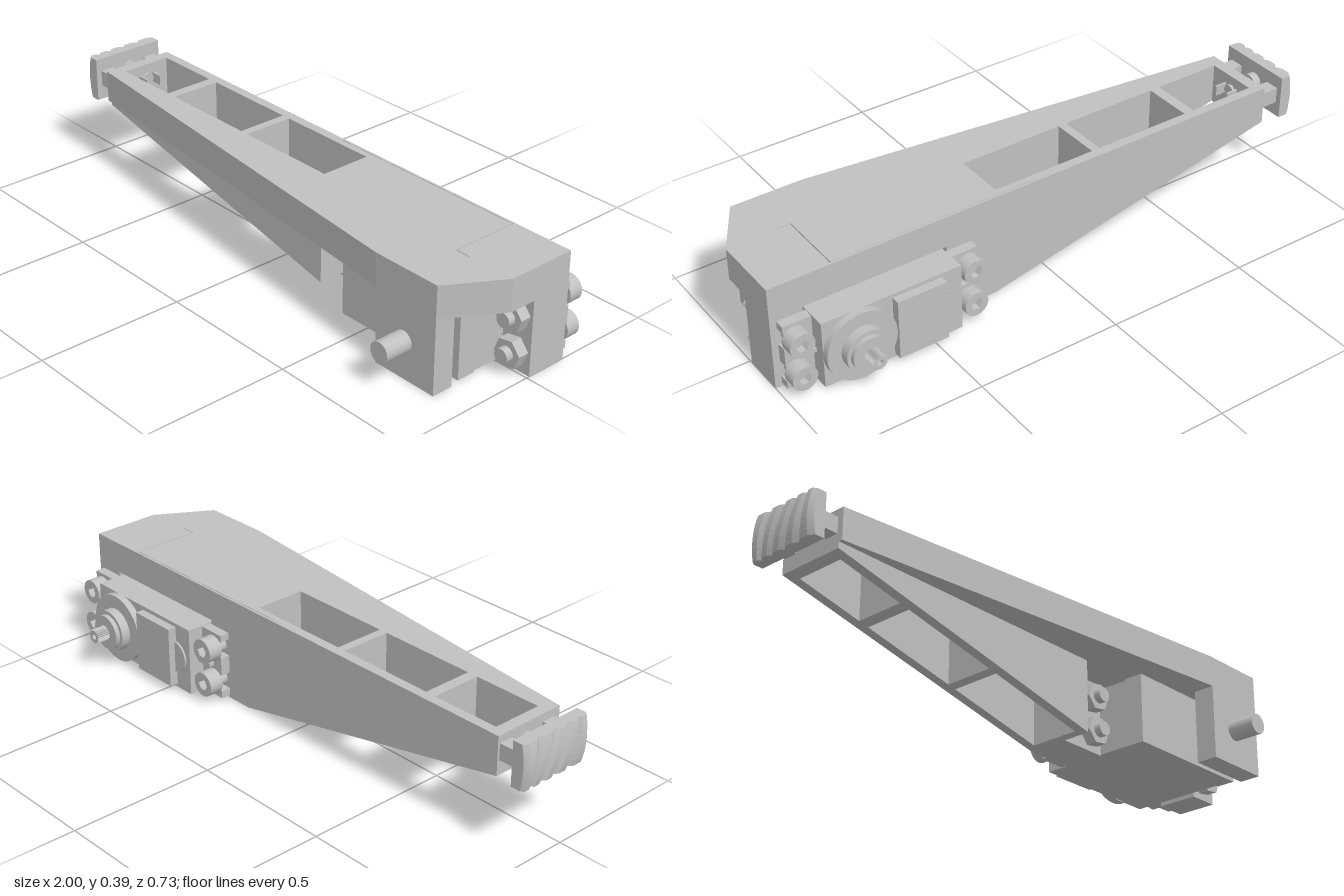
import * as THREE from 'three';

const grey = new THREE.MeshStandardMaterial({ color: 0xc0c0c0 });
grey.name = 'plain grey';

export function createModel() {
  const root = new THREE.Group();
  root.name = 'servoArm';

  const add = (name, geo, parent = root) => {
    const m = new THREE.Mesh(geo, grey);
    m.name = name;
    parent.add(m);
    return m;
  };
  // Box given by its limits on each axis
  const box = (name, x0, x1, y0, y1, z0, z1, parent) => {
    const g = new THREE.BoxGeometry(x1 - x0, y1 - y0, z1 - z0);
    g.translate((x0 + x1) / 2, (y0 + y1) / 2, (z0 + z1) / 2);
    return add(name, g, parent);
  };
  // Cylinder along z (or x) between two positions
  const rodZ = (name, x, y, z0, z1, r, sides = 32, parent = root) => {
    const g = new THREE.CylinderGeometry(r, r, z1 - z0, sides);
    g.rotateX(Math.PI / 2).translate(x, y, (z0 + z1) / 2);
    return add(name, g, parent);
  };
  const rodX = (name, x0, x1, y, z, r) => {
    const g = new THREE.CylinderGeometry(r, r, x1 - x0, 24);
    g.rotateZ(Math.PI / 2).translate((x0 + x1) / 2, y, z);
    return add(name, g);
  };
  // Plan outline in (x, z), extruded upwards from y0 to y1; holes wind against the outline
  const toPts = (pts) => pts.map(([x, z]) => new THREE.Vector2(x, -z));
  const plan = (outline, holes, y0, y1, steps = 1) => {
    const s = new THREE.Shape(toPts(outline));
    holes.forEach((h) => s.holes.push(new THREE.Path(toPts(h).reverse())));
    const g = new THREE.ExtrudeGeometry(s, { depth: y1 - y0, steps, bevelEnabled: false });
    return g.rotateX(-Math.PI / 2).translate(0, y0, 0);
  };

  const topY = 0.366, slabY = 0.257, back = -0.155;
  const pockets = [[-0.84, -0.6], [-0.563, -0.215], [-0.185, 0.185]].map(([a, b]) =>
    [[a, -0.122], [b, -0.122], [b, 0.055], [a, 0.055]]);

  // Top slab with three pockets and a fine stepped slit
  const slit = [[0.05, -0.147], [0.785, -0.147], [0.785, 0.087], [0.835, 0.087],
    [0.835, 0.09], [0.782, 0.09], [0.782, -0.145], [0.05, -0.145]];
  add('topSlab', plan(
    [[-0.88, back], [1, back], [1, 0.085], [0.888, 0.27], [0.643, 0.27], [-0.88, 0.104]],
    [...pockets, slit], slabY, topY));

  // Lower beam: same pockets, underside sloped towards the tip
  const beam = plan([[-0.88, back], [0.21, back], [0.21, 0.09], [-0.88, 0.09]], pockets, 0, slabY);
  const p = beam.attributes.position;
  for (let i = 0; i < p.count; i++) {
    if (p.getY(i) < 0.01) p.setY(i, 0.003 + 0.232 * (0.21 - p.getX(i)) / 1.09);
  }
  beam.computeVertexNormals();
  add('taperedBeam', beam);

  // Servo mounts and the front bearing leg
  box('innerMount', 0.21, 0.39, 0.003, slabY, back, -0.01);
  box('outerMount', 0.89, 1, 0, slabY, back, -0.01);
  box('frontLeg', 0.648, 0.888, 0, slabY, 0.195, 0.27);
  const axisY = 0.127;
  rodZ('pivotPin', 0.762, axisY, 0.2, 0.366, 0.035);

  // Servo body
  const servo = new THREE.Group();
  servo.name = 'servo';
  root.add(servo);
  box('servoCase', 0.397, 0.882, 0.01, 0.246, -0.245, 0.098, servo);
  box('servoBaseCover', 0.394, 0.885, 0.007, 0.249, 0.1, 0.166, servo);
  box('servoCaseJoint', 0.402, 0.877, 0.014, 0.242, 0.097, 0.101, servo);
  rodZ('gearHousing', 0.762, axisY, -0.27, -0.24, 0.12, 48, servo);
  box('servoLid', 0.467, 0.64, 0.023, 0.233, -0.275, -0.24, servo);
  rodZ('idlerBoss', 0.47, axisY, -0.252, -0.24, 0.055, 32, servo);
  rodZ('bearingCollar', 0.762, axisY, -0.302, -0.268, 0.073, 40, servo);
  rodZ('bearingRing', 0.762, axisY, -0.318, -0.3, 0.06, 40, servo);

  // Toothed output shaft
  const teeth = 24, star = new THREE.Shape();
  for (let i = 0; i < teeth * 2; i++) {
    const a = (i * Math.PI) / teeth, r = i % 2 ? 0.021 : 0.025;
    star[i ? 'lineTo' : 'moveTo'](r * Math.cos(a), r * Math.sin(a));
  }
  const bore = new THREE.Path();
  bore.absarc(0, 0, 0.01, 0, Math.PI * 2, true);
  star.holes.push(bore);
  const spline = new THREE.ExtrudeGeometry(star, { depth: 0.05, bevelEnabled: false, curveSegments: 8 });
  add('outputSpline', spline.translate(0.762, axisY, -0.366), servo);

  // Mounting ears with open slots, and a small stiffening rib at each end
  const holeY = [0.068, 0.19], hw = 0.029;
  for (const [name, end, inner, cx] of [['innerEar', 0.302, 0.4, 0.339], ['outerEar', 0.978, 0.875, 0.942]]) {
    const s = new THREE.Shape();
    s.moveTo(inner, 0.013).lineTo(end, 0.013);
    for (const y of holeY) {
      s.lineTo(end, y - hw).lineTo(cx, y - hw);
      s.absarc(cx, y, hw, -Math.PI / 2, Math.PI / 2, end > inner);
      s.lineTo(end, y + hw);
    }
    s.lineTo(end, 0.243).lineTo(inner, 0.243);
    add(name, new THREE.ExtrudeGeometry(s, { depth: 0.034, bevelEnabled: false }).translate(0, 0, -0.19), servo);
    box('earRib', Math.min(inner, cx), Math.max(inner, cx), 0.122, 0.135, -0.21, -0.188, servo);
  }

  // Four socket-head bolts with hex nuts
  const head = new THREE.Shape();
  head.absarc(0, 0, 0.042, 0, Math.PI * 2, false);
  const socket = new THREE.Path();
  for (let i = 0; i < 6; i++) {
    const a = (-i * Math.PI) / 3;
    socket[i ? 'lineTo' : 'moveTo'](0.021 * Math.cos(a), 0.021 * Math.sin(a));
  }
  head.holes.push(socket);
  const headGeo = new THREE.ExtrudeGeometry(head, { depth: 0.05, bevelEnabled: false, curveSegments: 24 });
  for (const x of [0.339, 0.942]) {
    for (const y of holeY) {
      const bolt = new THREE.Group();
      bolt.name = 'bolt';
      root.add(bolt);
      add('boltHead', headGeo, bolt).position.set(x, y, -0.24);
      rodZ('boltShank', x, y, -0.215, 0.053, 0.025, 24, bolt);
      const nut = new THREE.CylinderGeometry(0.05, 0.05, 0.038, 6).toNonIndexed();
      nut.computeVertexNormals();
      nut.rotateX(Math.PI / 2).rotateZ(-Math.PI / 9).translate(x, y, 0.009);
      add('hexNut', nut, bolt);
    }
  }

  // Gripping foot: bowed outer face with slanted ridges
  const z0 = -0.167, z1 = 0.102, y0 = 0.235, y1 = 0.386;
  const outline = [[-0.945, z1], [-0.945, z0]];
  const ridges = 5, pitch = (z1 - z0) / ridges;
  for (let i = 0; i < ridges; i++) {
    const z = z0 + i * pitch;
    outline.push([-0.988, z], [-1, z + pitch * 0.25], [-1, z + pitch * 0.7]);
  }
  outline.push([-0.988, z1]);
  const foot = plan(outline, [], y0, y1, 8);
  const f = foot.attributes.position;
  for (let i = 0; i < f.count; i++) {
    if (f.getX(i) > -0.95) continue;
    const t = (2 * f.getY(i) - y0 - y1) / (y1 - y0);
    const u = (2 * f.getZ(i) - z0 - z1) / (z1 - z0);
    f.setX(i, f.getX(i) + 0.01 * t * t);
    f.setZ(i, f.getZ(i) + 0.025 * t * (1 - u * u));
  }
  foot.computeVertexNormals();
  add('grippingFoot', foot);

  // Foot attachment: two guide pads, centre screw and its prongs
  for (const z of [-0.122, 0.057]) box('guidePad', -0.947, -0.88, 0.285, 0.34, z - 0.025, z + 0.025);
  rodX('screwCollar', -0.947, -0.918, 0.313, -0.035, 0.032);
  rodX('centreScrew', -0.92, -0.83, 0.313, -0.035, 0.022);
  for (const z of [-0.063, -0.007]) box('prong', -0.842, -0.797, 0.295, 0.33, z - 0.004, z + 0.004);

  return root;
}
